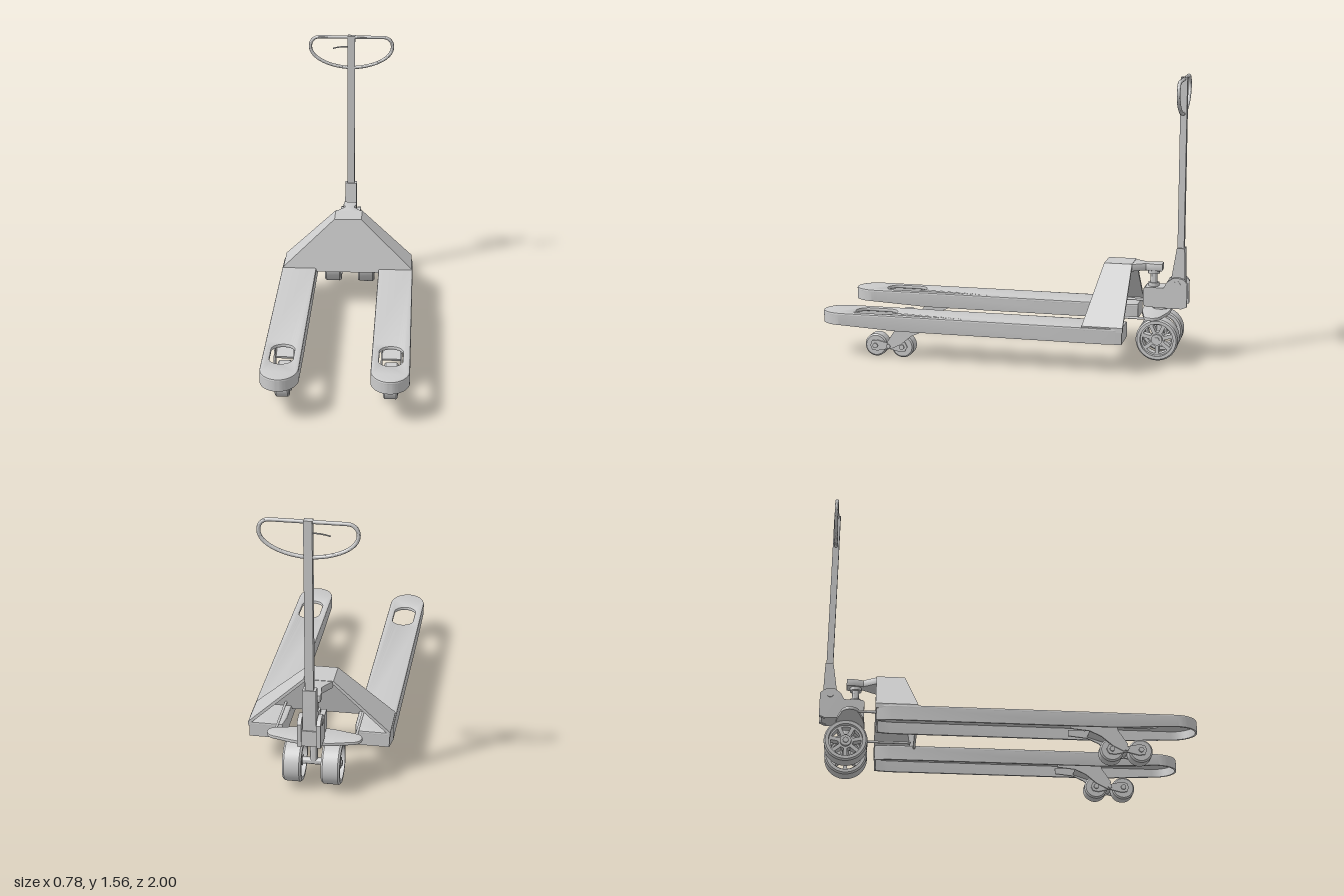
import * as THREE from 'three';
import { toCreasedNormals } from 'three/addons/utils/BufferGeometryUtils.js';

const material = new THREE.MeshStandardMaterial({ color: 0xcccccc, side: THREE.DoubleSide });

function add(parent, name, geometry, x = 0, y = 0, z = 0) {
  const mesh = new THREE.Mesh(toCreasedNormals(geometry, 0.6), material);
  mesh.name = name;
  mesh.position.set(x, y, z);
  parent.add(mesh);
  return mesh;
}

const polygon = (pts) => new THREE.Shape(pts.map(([a, b]) => new THREE.Vector2(a, b)));
const box = (w, h, d) => new THREE.BoxGeometry(w, h, d);
const cylinder = (r, h, n = 32) => new THREE.CylinderGeometry(r, r, h, n);
const axleX = (r, w, n = 32) => cylinder(r, w, n).rotateZ(Math.PI / 2);

// Plan shape (x, z) extruded downwards from y = 0
function slab(shape, depth, bevel = 0) {
  return new THREE.ExtrudeGeometry(shape, {
    depth: depth - 2 * bevel, bevelEnabled: bevel > 0, bevelThickness: bevel,
    bevelSize: bevel, bevelOffset: -bevel, bevelSegments: 2, curveSegments: 20,
  }).rotateX(Math.PI / 2).translate(0, -bevel, 0);
}

// Side profile of [z, y] points or a shape, extruded across x and centred
function sideways(profile, width) {
  const shape = Array.isArray(profile) ? polygon(profile.map(([z, y]) => [-z, y])) : profile;
  return new THREE.ExtrudeGeometry(shape, { depth: width, bevelEnabled: false, curveSegments: 16 })
    .translate(0, 0, -width / 2).rotateY(Math.PI / 2);
}

// Fork outline around x = 0 with a rounded tip, inset by t
function forkOutline(t) {
  const w = 0.102 - t;
  const s = new THREE.Shape();
  s.moveTo(-w + 0.012, -0.695 + t);
  s.lineTo(w - 0.012, -0.695 + t);
  s.lineTo(w, -0.62);
  s.lineTo(w, 0.55);
  s.lineTo(w, 0.87);
  s.absellipse(0, 0.87, w, 0.13 - t, 0, Math.PI, false);
  s.lineTo(-w, 0.55);
  s.lineTo(-w, -0.62);
  s.closePath();
  return s;
}

function makeFork() {
  const fork = new THREE.Group();
  fork.name = 'fork';

  // Top plate with the wheel slot
  const top = forkOutline(0);
  const slot = new THREE.Path();
  slot.moveTo(0.062, 0.64);
  slot.lineTo(0.062, 0.75);
  slot.absarc(0, 0.75, 0.062, 0, Math.PI, false);
  slot.lineTo(-0.062, 0.64);
  slot.absarc(0, 0.64, 0.062, Math.PI, Math.PI * 2, false);
  top.holes.push(slot);
  add(fork, 'forkTopPlate', slab(top, 0.022, 0.008), 0, 0.25, 0);

  // Skirt: open underneath, shallower towards the tip
  const skirt = forkOutline(0);
  skirt.holes.push(forkOutline(0.01));
  const geo = slab(skirt, 0.075).translate(0, 0.24, 0);
  const p = geo.attributes.position;
  for (let i = 0; i < p.count; i++) {
    if (p.getY(i) < 0.2) p.setY(i, 0.165 + 0.017 * THREE.MathUtils.smoothstep(p.getZ(i), 0.5, 0.87));
  }
  add(fork, 'forkSkirt', geo);

  // Wheel bogie: swing arms, link plates and two rollers
  for (const s of [-1, 1]) {
    add(fork, 'swingArm', sideways([[0.62, 0.09], [0.57, 0.165], [0.56, 0.2], [0.32, 0.2], [0.32, 0.168],
      [0.42, 0.158], [0.48, 0.13], [0.54, 0.08], [0.6, 0.05]], 0.008), s * 0.053, 0, 0);
    add(fork, 'linkPlate', sideways([[0.72, 0.065], [0.71, 0.09], [0.68, 0.095], [0.613, 0.08], [0.55, 0.095],
      [0.52, 0.09], [0.507, 0.065], [0.52, 0.04], [0.55, 0.035], [0.613, 0.05], [0.68, 0.035], [0.71, 0.04]],
    0.008), s * 0.045, 0, 0);
  }
  add(fork, 'armBridge', box(0.1, 0.012, 0.1), 0, 0.155, 0.47).rotation.x = 0.3;
  for (const z of [0.537, 0.69]) {
    const r = [[0.014, -0.038], [0.055, -0.038], [0.063, -0.03], [0.063, 0.03], [0.055, 0.038], [0.014, 0.038]];
    const roller = new THREE.LatheGeometry(r.map(([a, b]) => new THREE.Vector2(a, b)), 36).rotateZ(Math.PI / 2);
    add(fork, 'loadRoller', roller, 0, 0.064, z);
    add(fork, 'rollerPin', axleX(0.014, 0.115, 16), 0, 0.064, z);
  }
  add(fork, 'bogiePin', axleX(0.012, 0.12, 16), 0, 0.066, 0.613);
  return fork;
}

function makeSteerWheel() {
  const wheel = new THREE.Group();
  wheel.name = 'steerWheel';
  const tyre = [[0.09, -0.05], [0.107, -0.05], [0.115, -0.04], [0.115, 0.04], [0.107, 0.05], [0.09, 0.05], [0.09, -0.05]];
  add(wheel, 'tyre', new THREE.LatheGeometry(tyre.map(([r, y]) => new THREE.Vector2(r, y)), 48).rotateZ(Math.PI / 2));

  // Spoked disc
  const disc = new THREE.Shape().absarc(0, 0, 0.094, 0, Math.PI * 2, false);
  const n = 7;
  for (let i = 0; i < n; i++) {
    const a = (i / n) * Math.PI * 2 + Math.PI / 2;
    const hole = new THREE.Path();
    hole.absarc(0, 0, 0.08, a - 0.32, a + 0.32, false);
    hole.lineTo(0.04 * Math.cos(a + 0.2), 0.04 * Math.sin(a + 0.2));
    hole.lineTo(0.04 * Math.cos(a - 0.2), 0.04 * Math.sin(a - 0.2));
    hole.closePath();
    disc.holes.push(hole);
  }
  add(wheel, 'spokes', sideways(disc, 0.05));
  add(wheel, 'hub', axleX(0.03, 0.085));
  add(wheel, 'hubCap', axleX(0.015, 0.1));
  return wheel;
}

// Sloping hood, open at the back and underneath
function makeHood(parent) {
  const outline = (t) => [[-0.383 + t, 0.23], [-0.383 + t, 0.256 - t / 2], [-0.08 + t / 2, 0.54 - t],
    [0.08 - t / 2, 0.54 - t], [0.383 - t, 0.256 - t / 2], [0.383 - t, 0.23]];
  const frontZ = (y) => -0.478 - 0.068 * (y - 0.25) / 0.29;
  const shell = polygon([...outline(0), ...outline(0.015).reverse()]);
  for (const [name, shape, thick] of [['hoodSides', shell, 0], ['hoodFront', polygon(outline(0)), 0.012]]) {
    const geo = new THREE.ExtrudeGeometry(shape, { depth: 1, bevelEnabled: false });
    const p = geo.attributes.position;
    for (let i = 0; i < p.count; i++) {
      const front = frontZ(p.getY(i));
      p.setZ(i, p.getZ(i) > 0.5 ? front : thick ? front - thick : -0.7);
    }
    add(parent, name, geo);
  }
}

export function createModel() {
  const model = new THREE.Group();
  model.name = 'palletTruck';

  for (const s of [-1, 1]) {
    const fork = makeFork();
    fork.position.x = s * 0.288;
    model.add(fork);
    const wheel = makeSteerWheel();
    wheel.position.set(s * 0.102, 0.14, -0.85);
    model.add(wheel);
    add(model, 'pullRod', cylinder(0.007, 0.3, 12).rotateX(Math.PI / 2), s * 0.215, 0.275, -0.65);
    add(model, 'mastCheek', sideways([[-0.86, 0.3], [-0.87, 0.41], [-0.89, 0.445], [-0.92, 0.467], [-0.95, 0.47],
      [-0.98, 0.462], [-1, 0.44], [-1, 0.31], [-0.97, 0.298]], 0.022), s * 0.05, 0, 0);
  }
  makeHood(model);

  // Lifting bracket from the hood to the pump piston
  const bracket = polygon([[-0.075, -0.6], [0.075, -0.6], [0.075, -0.7], [0.028, -0.77], [0.04, -0.82],
    [0.036, -0.86], [-0.036, -0.86], [-0.04, -0.82], [-0.028, -0.77], [-0.075, -0.7]]);
  add(model, 'liftBracket', slab(bracket, 0.04, 0.004), 0, 0.538, 0);

  // Hydraulic pump
  add(model, 'pistonHead', cylinder(0.032, 0.02), 0, 0.49, -0.81);
  add(model, 'piston', cylinder(0.019, 0.12), 0, 0.45, -0.81);
  add(model, 'pistonSeal', cylinder(0.03, 0.025), 0, 0.418, -0.81);
  add(model, 'pumpBody', sideways([[-0.76, 0.31], [-0.76, 0.4], [-0.77, 0.41], [-0.89, 0.41], [-0.99, 0.4],
    [-0.99, 0.31], [-0.96, 0.298], [-0.78, 0.3]], 0.11));

  // Rounded guard plate above the steering wheels
  const guard = new THREE.Shape();
  guard.moveTo(0, -0.91);
  guard.bezierCurveTo(0.1, -0.915, 0.15, -0.89, 0.2, -0.88);
  guard.bezierCurveTo(0.27, -0.87, 0.27, -0.79, 0.2, -0.785);
  guard.bezierCurveTo(0.15, -0.775, 0.1, -0.755, 0, -0.755);
  guard.bezierCurveTo(-0.1, -0.755, -0.15, -0.775, -0.2, -0.785);
  guard.bezierCurveTo(-0.27, -0.79, -0.27, -0.87, -0.2, -0.88);
  guard.bezierCurveTo(-0.15, -0.89, -0.1, -0.915, 0, -0.91);
  add(model, 'guardPlate', slab(guard, 0.018, 0.003), 0, 0.288, 0);

  // Steering column and axle
  add(model, 'steeringCollar', cylinder(0.045, 0.035), 0, 0.285, -0.85);
  add(model, 'steeringPost', cylinder(0.02, 0.15), 0, 0.21, -0.85);
  add(model, 'steerAxle', axleX(0.019, 0.17), 0, 0.14, -0.85);

  // Tiller foot and pole
  add(model, 'tillerFoot', sideways([[-0.9, 0.38], [-0.91, 0.46], [-0.937, 0.63], [-0.98, 0.63], [-0.985, 0.46],
    [-0.985, 0.38]], 0.07));
  add(model, 'tillerPivot', axleX(0.018, 0.13, 20), 0, 0.435, -0.945);
  add(model, 'tillerPole', box(0.044, 0.96, 0.036), 0, 1.08, -0.957);

  // D-shaped handle loop
  const v = (x, y) => new THREE.Vector3(x, y, 0);
  const loop = new THREE.CurvePath();
  loop.add(new THREE.LineCurve3(v(-0.19, 1.55), v(0.19, 1.55)));
  loop.add(new THREE.CubicBezierCurve3(v(0.19, 1.55), v(0.235, 1.55), v(0.255, 1.51), v(0.242, 1.47)));
  loop.add(new THREE.CubicBezierCurve3(v(0.242, 1.47), v(0.22, 1.405), v(0.1, 1.363), v(0, 1.363)));
  loop.add(new THREE.CubicBezierCurve3(v(0, 1.363), v(-0.1, 1.363), v(-0.22, 1.405), v(-0.242, 1.47)));
  loop.add(new THREE.CubicBezierCurve3(v(-0.242, 1.47), v(-0.255, 1.51), v(-0.235, 1.55), v(-0.19, 1.55)));
  add(model, 'handleLoop', new THREE.TubeGeometry(loop, 120, 0.01, 12, true), 0, 0, -0.957);

  // Release lever
  const lever = new THREE.QuadraticBezierCurve3(v(0, 1.49), v(-0.06, 1.495), v(-0.11, 1.48));
  add(model, 'releaseLever', new THREE.TubeGeometry(lever, 16, 0.004, 8), 0, 0, -0.957);
  return model;
}
